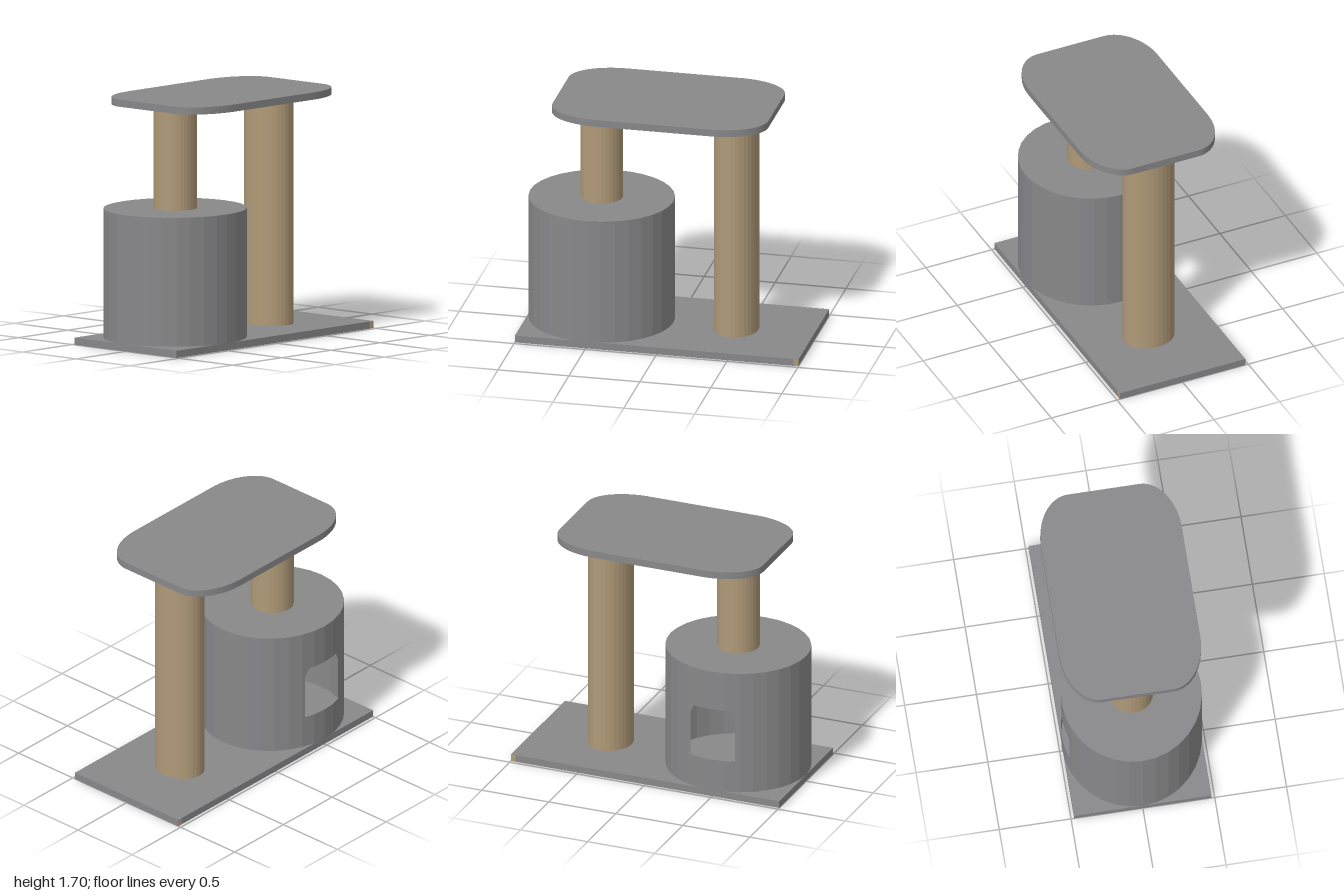
import * as THREE from 'three';

const SEGMENTS = 32;

// Faceted copy of a geometry, so every flat side reads as a flat side
function faceted(geometry) {
  const flat = geometry.index ? geometry.toNonIndexed() : geometry;
  flat.computeVertexNormals();
  return flat;
}

// Drum wall made of upright panels, with a doorway cut into the back (-z)
function drumWall(rx, rz, y0, y1) {
  const step = 360 / SEGMENTS;
  const door = { half: 19.4, shoulder: 16, sill: 0.28, spring: 0.6, top: 0.66 };
  const corner = (k) => {
    const a = THREE.MathUtils.degToRad(k * step);
    return [rx * Math.sin(a), -rz * Math.cos(a)];
  };
  // point on the faceted outline at an angle measured from -z
  const outline = (deg) => {
    const k = Math.floor(deg / step);
    const t = deg / step - k;
    const [p, q] = [corner(k), corner(k + 1)];
    return [p[0] + (q[0] - p[0]) * t, p[1] + (q[1] - p[1]) * t];
  };
  const lintel = (deg) => (Math.abs(deg) <= door.shoulder ? door.top : door.spring);

  const angles = [-door.half, -door.shoulder, door.shoulder, door.half];
  for (let k = 0; k <= SEGMENTS; k++) angles.push(-180 + k * step);
  angles.sort((a, b) => a - b);

  const positions = [];
  const panel = (a, b, lowA, lowB, highA, highB) => {
    const [ax, az] = outline(a);
    const [bx, bz] = outline(b);
    positions.push(bx, lowB, bz, ax, lowA, az, ax, highA, az);
    positions.push(bx, lowB, bz, ax, highA, az, bx, highB, bz);
  };
  for (let i = 0; i < angles.length - 1; i++) {
    const [a, b] = [angles[i], angles[i + 1]];
    if (Math.abs((a + b) / 2) < door.half) {
      panel(a, b, y0, y0, door.sill, door.sill);
      panel(a, b, lintel(a), lintel(b), y1, y1);
    } else {
      panel(a, b, y0, y0, y1, y1);
    }
  }
  const geometry = new THREE.BufferGeometry();
  geometry.setAttribute('position', new THREE.Float32BufferAttribute(positions, 3));
  return faceted(geometry);
}

// Slab with elliptical corners, lying flat with its underside at y = 0
function roundedSlab(hx, hz, cx, cz, thickness) {
  const s = new THREE.Shape();
  s.moveTo(hx, -hz + cz);
  s.lineTo(hx, hz - cz);
  s.absellipse(hx - cx, hz - cz, cx, cz, 0, Math.PI / 2);
  s.absellipse(-hx + cx, hz - cz, cx, cz, Math.PI / 2, Math.PI);
  s.absellipse(-hx + cx, -hz + cz, cx, cz, Math.PI, Math.PI * 1.5);
  s.absellipse(hx - cx, -hz + cz, cx, cz, Math.PI * 1.5, Math.PI * 2);
  const g = new THREE.ExtrudeGeometry(s, { depth: thickness, bevelEnabled: false, curveSegments: 10 });
  return g.rotateX(-Math.PI / 2);
}

export function createModel() {
  const group = new THREE.Group();
  const grey = new THREE.MeshStandardMaterial({ color: 0x88888a });
  grey.name = 'grey carpet';
  grey.side = THREE.DoubleSide;
  const tan = new THREE.MeshStandardMaterial({ color: 0xb09a78 });
  tan.name = 'tan rope';

  const add = (name, geometry, material, x = 0, y = 0, z = 0) => {
    const mesh = new THREE.Mesh(geometry, material);
    mesh.name = name;
    mesh.position.set(x, y, z);
    group.add(mesh);
    return mesh;
  };
  const post = (name, x, rx, rz, y0, y1) => {
    const g = new THREE.CylinderGeometry(1, 1, y1 - y0, SEGMENTS).scale(rx, 1, rz);
    add(name, faceted(g), tan, x, (y0 + y1) / 2);
  };

  // Base board with a small tan patch at one end of its front and back edges
  add('base', new THREE.BoxGeometry(2, 0.05, 0.956), grey, 0, 0.025);
  for (const side of [1, -1]) {
    add('basePatch', new THREE.BoxGeometry(0.035, 0.049, 0.003), tan, 0.982, 0.025, side * 0.478);
  }

  // Hollow drum house with a doorway at the back
  const drumX = -0.495;
  add('drumWall', drumWall(0.505, 0.485, 0.05, 0.945), grey, drumX);
  const roof = new THREE.CircleGeometry(1, SEGMENTS).rotateX(-Math.PI / 2).scale(0.505, 1, 0.485);
  add('drumRoof', faceted(roof), grey, drumX, 0.945);

  // Posts
  post('shortPost', -0.495, 0.147, 0.15, 0.945, 1.652);
  post('tallPost', 0.455, 0.155, 0.184, 0.05, 1.644);

  // Top platform
  add('platform', roundedSlab(0.76, 0.49, 0.36, 0.24, 0.05), grey, -0.025, 1.652);
  return group;
}
